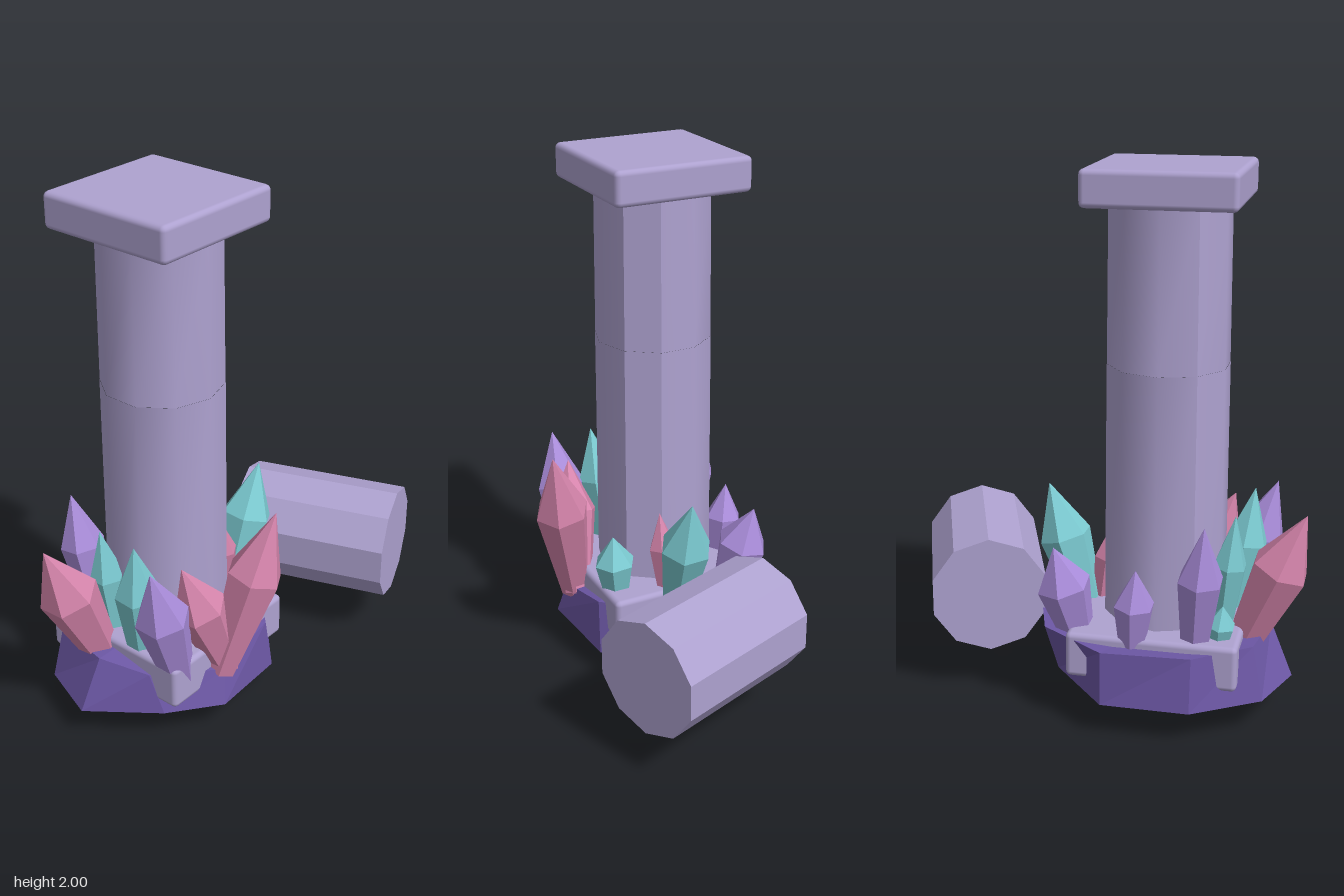
import * as THREE from 'three';
import { RoundedBoxGeometry } from 'three/addons/geometries/RoundedBoxGeometry.js';

const colour = (name, hex) => {
  const m = new THREE.MeshStandardMaterial({ color: hex });
  m.name = name;
  return m;
};

// Faceted normals stored in the geometry
function facet(geometry) {
  const g = geometry.index ? geometry.toNonIndexed() : geometry;
  g.computeVertexNormals();
  return g;
}

// Lumpy rock: pointed underside, two irregular rings and a shallow top
function rockGeometry() {
  const lower = [[-.745, .13, -.07], [-.57, .14, .18], [-.38, .13, .31], [-.05, .1, .27], [.13, .13, .1],
    [.11, .14, -.22], [-.1, .13, -.455], [-.42, .13, -.455], [-.66, .13, -.3]];
  const upper = [[-.66, .33, -.05], [-.58, .29, .12], [-.35, .26, .28], [-.08, .31, .26], [.22, .33, -.04],
    [.14, .34, -.3], [-.1, .33, -.45], [-.42, .33, -.43], [-.62, .33, -.28]];
  const apex = [-.265, .005, -.07], middle = [-.265, .3, -.07];
  const points = [];
  lower.forEach((a, i) => {
    const j = (i + 1) % lower.length;
    const b = lower[j], c = upper[j], d = upper[i];
    points.push(...a, ...b, ...c, ...a, ...c, ...d, ...apex, ...b, ...a, ...middle, ...d, ...c);
  });
  const g = new THREE.BufferGeometry();
  g.setAttribute('position', new THREE.Float32BufferAttribute(points, 3));
  return facet(g);
}

// Six-sided crystal that widens to a shoulder and ends in a point
function crystal(material, base, tip, radius) {
  const from = new THREE.Vector3(...base), to = new THREE.Vector3(...tip);
  const axis = to.clone().sub(from), h = axis.length();
  const profile = [[0, 0], [radius * .55, 0], [radius, h * .62], [0, h]].map(p => new THREE.Vector2(...p));
  const mesh = new THREE.Mesh(facet(new THREE.LatheGeometry(profile, 6)), material);
  mesh.position.copy(from);
  mesh.quaternion.setFromUnitVectors(new THREE.Vector3(0, 1, 0), axis.normalize());
  return mesh;
}

export function createModel() {
  const model = new THREE.Group();
  model.name = 'crystalPillar';
  const stone = colour('pale stone', 0xaea2d0);
  const rock = colour('purple rock', 0x6d58a6);
  const pink = colour('pink crystal', 0xd685ac);
  const teal = colour('teal crystal', 0x7ccbd2);
  const violet = colour('violet crystal', 0xaa8ddb);

  const add = (name, geometry, material, x = 0, y = 0, z = 0) => {
    const mesh = new THREE.Mesh(geometry, material);
    mesh.name = name;
    mesh.position.set(x, y, z);
    model.add(mesh);
    return mesh;
  };
  const cx = -.265, cz = -.07;

  // Rock base, plinth and square cap
  add('rockBase', rockGeometry(), rock);
  add('plinth', new RoundedBoxGeometry(.62, .17, .62, 2, .02), stone, cx, .275, cz);
  add('cap', new RoundedBoxGeometry(.535, .13, .535, 2, .02), stone, cx, 1.935, cz);

  // Standing column: two ten-sided drums, smooth apart from three worn edges
  const step = Math.PI / 5;
  for (const [name, y0, y1, rBottom, rTop] of [
    ['lowerDrum', .34, 1.3, .226, .222], ['upperDrum', 1.3, 1.88, .221, .217]]) {
    for (const [first, count] of [[1, 1], [2, 4], [6, 5]]) {
      const g = new THREE.CylinderGeometry(rTop, rBottom, y1 - y0, count, 1, true, first * step, count * step);
      g.computeVertexNormals();
      add(name, g, stone, cx, (y0 + y1) / 2, cz);
    }
  }

  // Fallen drum lying beside the base
  const fallen = add('fallenDrum', facet(new THREE.CylinderGeometry(.222, .222, .62, 10)), stone, .485, .395, .097);
  fallen.rotation.set(Math.PI / 2, .344, 0, 'YXZ');

  // Crystals: material, base, tip, radius
  const crystals = new THREE.Group();
  crystals.name = 'crystals';
  model.add(crystals);
  for (const [material, base, tip, radius] of [
    [pink, [-.55, .24, -.13], [-.785, .8, -.17], .11],
    [pink, [-.33, .24, .25], [-.19, .9, .385], .105],
    [pink, [-.3, .24, .25], [-.485, .735, .2], .1],
    [pink, [0, .28, 0], [-.05, .65, .01], .055],
    [violet, [-.48, .24, .18], [-.645, .795, .2], .1],
    [violet, [-.41, .26, -.29], [-.45, .8, -.375], .085],
    [violet, [-.19, .26, -.33], [-.21, .62, -.37], .075],
    [violet, [.02, .26, -.24], [.1, .66, -.32], .1],
    [teal, [-.5, .26, .02], [-.575, .81, .06], .085],
    [teal, [-.48, .26, -.13], [-.53, .77, -.15], .065],
    [teal, [-.49, .28, -.27], [-.51, .48, -.29], .055],
    [teal, [.03, .26, -.02], [.197, .79, 0], .1],
    [teal, [-.1, .28, .17], [-.09, .57, .19], .08],
  ]) {
    const mesh = crystal(material, base, tip, radius);
    mesh.name = material.name.split(' ')[0] + 'Crystal';
    crystals.add(mesh);
  }
  return model;
}
